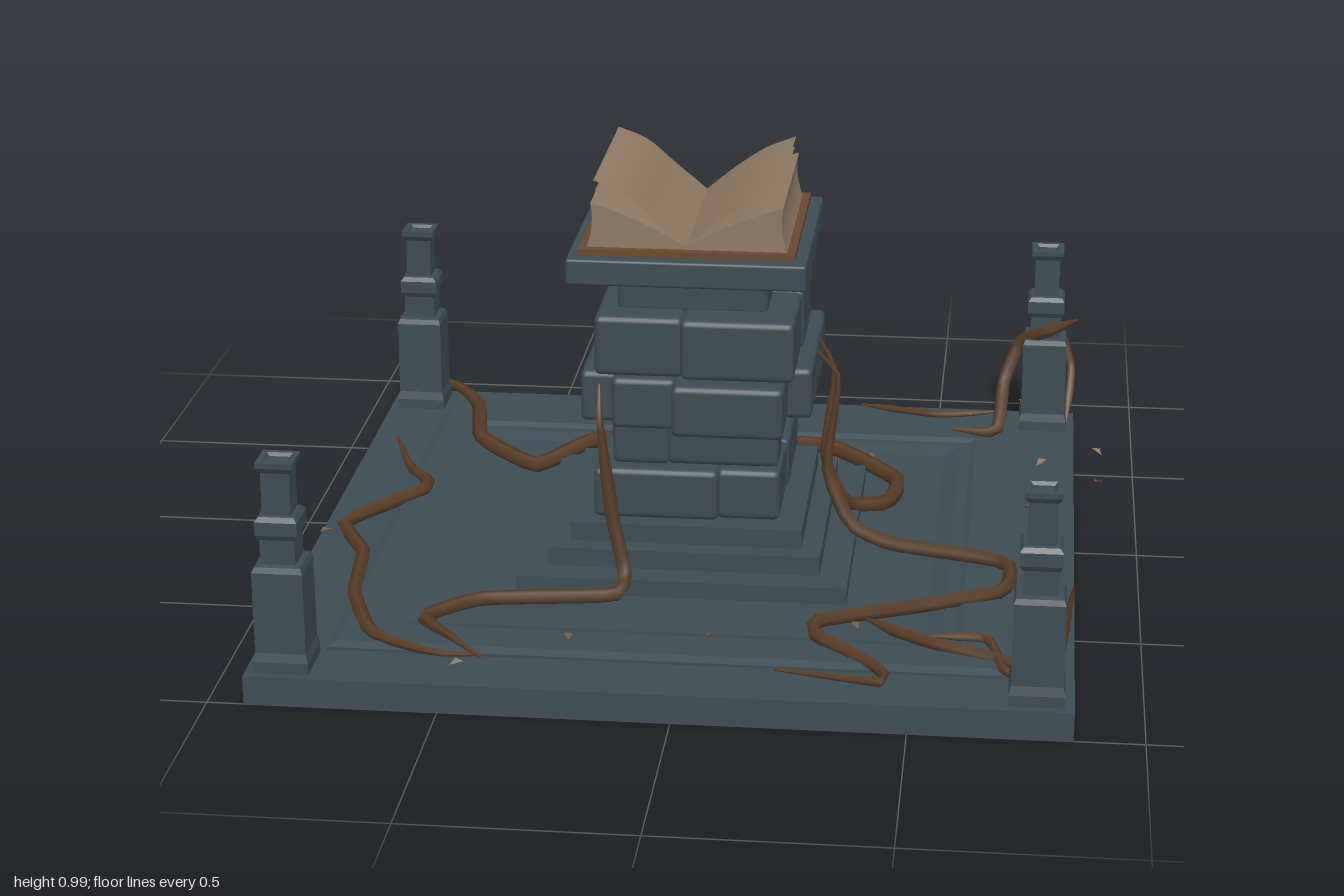
import * as THREE from 'three';
import { RoundedBoxGeometry } from 'three/addons/geometries/RoundedBoxGeometry.js';

const CX = -0.035, CZ = 0.115; // centre of the platform and pedestal

export function createModel() {
  const root = new THREE.Group();
  const mat = (name, color, side = THREE.FrontSide) => {
    const m = new THREE.MeshStandardMaterial({ color, side });
    m.name = name;
    return m;
  };
  const stone = mat('slate stone', 0x3c4c54);
  const bark = mat('brown vine', 0x5a3d26);
  const paper = mat('old paper', 0x8e7963, THREE.DoubleSide);
  const cover = mat('book cover', 0x69492f);
  const leafMat = mat('dry leaf', 0x7d6148, THREE.DoubleSide);

  const add = (parent, name, geo, material, x = 0, y = 0, z = 0) => {
    const m = new THREE.Mesh(geo, material);
    m.name = name;
    m.position.set(x, y, z);
    parent.add(m);
    return m;
  };
  const group = (name) => {
    const g = new THREE.Group();
    g.name = name;
    root.add(g);
    return g;
  };
  // square stepped solid from [half width, height] pairs
  const squareLathe = (profile) => {
    const pts = profile.map(([h, y]) => new THREE.Vector2(h * Math.SQRT2, y));
    const geo = new THREE.LatheGeometry(pts, 4, Math.PI / 4).toNonIndexed();
    geo.computeVertexNormals();
    return geo;
  };
  // stone with softened edges, given by its bounds
  const block = (parent, name, [x0, x1, y0, y1, z0, z1], r, material = stone) =>
    add(parent, name, new RoundedBoxGeometry(x1 - x0, y1 - y0, z1 - z0, 2, r), material,
      (x0 + x1) / 2, (y0 + y1) / 2, (z0 + z1) / 2);

  // platform with a raised moulding around the floor
  add(root, 'platform', squareLathe([
    [0, 0], [0.885, 0], [0.885, 0.065], [0.735, 0.065], [0.735, 0.072], [0.715, 0.08], [0.64, 0.08],
    [0.625, 0.072], [0.6, 0.072], [0.56, 0.06], [0, 0.06],
  ]), stone, CX, 0, CZ);
  add(root, 'pedestalSteps', squareLathe([
    [0.375, 0.05], [0.375, 0.1], [0.31, 0.1], [0.31, 0.145], [0.265, 0.145], [0.265, 0.19], [0, 0.19],
  ]), stone, CX, 0, CZ);

  // pedestal courses of uneven stones
  const pedestal = group('pedestal');
  [
    [-0.25, 0.035, 0.19, 0.31, 0.12, 0.345], [0.03, 0.175, 0.19, 0.31, 0.12, 0.33],
    [-0.24, -0.02, 0.19, 0.31, -0.13, 0.125], [-0.025, 0.18, 0.19, 0.31, -0.15, 0.125],
    [-0.21, -0.08, 0.31, 0.43, 0.1, 0.31], [-0.085, 0.17, 0.31, 0.43, 0.2, 0.305],
    [-0.205, -0.02, 0.31, 0.43, -0.1, 0.105], [-0.085, 0.165, 0.31, 0.43, -0.11, 0.205],
    [-0.275, -0.19, 0.43, 0.55, 0.05, 0.36], [-0.2, -0.055, 0.43, 0.55, 0.1, 0.4],
    [-0.06, 0.19, 0.43, 0.55, 0.15, 0.445], [0.05, 0.245, 0.43, 0.55, -0.13, 0.3],
    [-0.25, 0.06, 0.43, 0.55, -0.14, 0.16],
    [-0.24, -0.04, 0.55, 0.69, 0.1, 0.385], [-0.045, 0.21, 0.55, 0.69, 0.16, 0.4],
    [-0.235, 0.03, 0.55, 0.69, -0.13, 0.105], [0.025, 0.215, 0.55, 0.69, -0.09, 0.165],
    [-0.195, 0.145, 0.68, 0.77, -0.07, 0.315],
  ].forEach((b) => block(pedestal, 'stone', b, 0.014));
  block(pedestal, 'topSlab', [-0.302, 0.235, 0.762, 0.822, -0.152, 0.385], 0.006);

  // four corner posts
  const postGeo = squareLathe([
    [0.06, 0.06], [0.06, 0.09], [0.055, 0.11], [0.055, 0.295], [0.05, 0.307], [0.038, 0.31], [0.038, 0.365],
    [0.046, 0.378], [0.046, 0.408], [0.038, 0.418], [0.031, 0.42], [0.031, 0.515], [0.04, 0.528],
    [0.04, 0.54], [0.028, 0.54], [0.022, 0.533], [0, 0.533],
  ]);
  const posts = group('cornerPosts');
  for (const sx of [-1, 1]) for (const sz of [-1, 1])
    add(posts, 'cornerPost', postGeo, stone, CX + sx * 0.805, 0, CZ + sz * 0.805);

  // open book
  const book = group('openBook');
  add(book, 'bookCover', new THREE.BoxGeometry(0.485, 0.016, 0.48), cover, CX, 0.83, CZ);
  const half = new THREE.Shape();
  half.moveTo(0, 0.836);
  half.lineTo(0.225, 0.836);
  half.quadraticCurveTo(0.205, 0.89, 0.215, 0.94);
  half.quadraticCurveTo(0.12, 0.915, 0, 0.845);
  const halfGeo = new THREE.ExtrudeGeometry(half, { depth: 0.445, bevelEnabled: false, curveSegments: 8 });
  // a thin page bent along a curve in x and y
  const page = (pts) => {
    const curve = new THREE.CatmullRomCurve3(pts.map(([x, y]) => new THREE.Vector3(x, y, 0)));
    const geo = new THREE.PlaneGeometry(1, 0.44, 12, 1);
    const p = geo.attributes.position;
    for (let i = 0; i < p.count; i++) {
      const c = curve.getPoint(p.getX(i) + 0.5);
      p.setXYZ(i, c.x, c.y, p.getY(i));
    }
    geo.computeVertexNormals();
    return geo;
  };
  for (const s of [-1, 1]) {
    const pages = add(book, s < 0 ? 'rightPages' : 'leftPages', halfGeo, paper, CX, 0, CZ - 0.2225);
    if (s < 0) {
      pages.rotation.y = Math.PI;
      pages.position.z = CZ + 0.2225;
    }
    const lift = s < 0 ? 0.012 : 0;
    add(book, 'loosePage', page([[0, 0.847], [s * 0.07, 0.905], [s * 0.14, 0.952 + lift], [s * 0.208, 0.98 + lift]]),
      paper, CX, 0, CZ);
    add(book, 'loosePage', page([[0, 0.846], [s * 0.08, 0.9], [s * 0.15, 0.935], [s * 0.205, 0.955 + lift]]),
      paper, CX, 0, CZ);
  }

  // tapering angular vines
  const vines = group('vines');
  const vine = (name, pts, r = 0.017) => {
    const path = new THREE.CatmullRomCurve3(pts.map((p) => new THREE.Vector3(...p)), false, 'catmullrom', 0.25);
    const seg = pts.length * 4, sides = 5;
    const geo = new THREE.TubeGeometry(path, seg, r, sides);
    const p = geo.attributes.position, v = new THREE.Vector3();
    for (let i = 0; i < p.count; i++) {
      const t = Math.floor(i / (sides + 1)) / seg;
      const c = path.getPointAt(t);
      v.fromBufferAttribute(p, i).sub(c).multiplyScalar(0.2 + 0.8 * Math.min(1, 5 * t, 5 * (1 - t))).add(c);
      p.setXYZ(i, v.x, v.y, v.z);
    }
    add(vines, name, geo, bark);
  };
  vine('sideVine', [[-0.855, 0.08, -0.39], [-0.79, 0.075, -0.21], [-0.71, 0.09, -0.04], [-0.87, 0.08, 0.17],
    [-0.79, 0.08, 0.35], [-0.76, 0.085, 0.59], [-0.68, 0.09, 0.8], [-0.53, 0.08, 0.87], [-0.42, 0.075, 0.86]]);
  vine('backVine', [[-0.9, 0.3, -0.7], [-0.895, 0.12, -0.745], [-0.85, 0.1, -0.765], [-0.76, 0.09, -0.74],
    [-0.68, 0.09, -0.6], [-0.63, 0.1, -0.35], [-0.47, 0.09, -0.21], [-0.34, 0.115, -0.33], [-0.08, 0.11, -0.37],
    [0.24, 0.11, -0.36], [0.42, 0.09, -0.2], [0.4, 0.09, -0.05], [0.31, 0.12, 0.03], [0.26, 0.25, 0.05],
    [0.28, 0.46, 0.045], [0.24, 0.54, 0.045]], 0.02);
  vine('rightVine', [[0.24, 0.54, 0.13], [0.295, 0.47, 0.13], [0.27, 0.25, 0.13], [0.33, 0.12, 0.16],
    [0.43, 0.09, 0.2], [0.69, 0.095, 0.29], [0.69, 0.095, 0.45], [0.48, 0.08, 0.53], [0.29, 0.09, 0.64],
    [0.29, 0.09, 0.72], [0.43, 0.08, 0.85], [0.44, 0.08, 0.92], [0.21, 0.075, 0.87]]);
  vine('frontVine', [[-0.225, 0.54, 0.41], [-0.22, 0.47, 0.45], [-0.195, 0.25, 0.455], [-0.165, 0.11, 0.47],
    [-0.18, 0.08, 0.53], [-0.47, 0.08, 0.58], [-0.58, 0.085, 0.7], [-0.5, 0.095, 0.82], [-0.42, 0.08, 0.89]]);
  vine('backPostVine', [[0.85, 0.33, -0.74], [0.78, 0.34, -0.63], [0.71, 0.29, -0.68], [0.67, 0.19, -0.65],
    [0.655, 0.1, -0.53], [0.54, 0.09, -0.56]]);
  vine('backPostVine', [[0.66, 0.1, -0.67], [0.5, 0.09, -0.66], [0.3, 0.08, -0.74]], 0.009);
  vine('backPostVine', [[0.8, 0.33, -0.77], [0.84, 0.2, -0.74], [0.83, 0.08, -0.66]], 0.011);
  vine('frontPostVine', [[0.39, 0.08, 0.6], [0.46, 0.09, 0.68], [0.55, 0.09, 0.74], [0.7, 0.08, 0.79],
    [0.82, 0.08, 0.86]], 0.014);
  vine('frontPostVine', [[0.53, 0.09, 0.7], [0.66, 0.09, 0.7], [0.7, 0.08, 0.84], [0.78, 0.08, 0.86]], 0.011);
  vine('frontPostVine', [[0.8, 0.08, 0.48], [0.78, 0.09, 0.66], [0.81, 0.1, 0.84], [0.84, 0.3, 0.88]], 0.013);

  // fallen leaves: small folded triangles
  const leaves = group('leaves');
  const leafGeo = new THREE.BufferGeometry();
  leafGeo.setAttribute('position', new THREE.Float32BufferAttribute(
    [-0.017, 0, 0, 0, 0.006, -0.01, 0.017, 0, 0, -0.017, 0, 0, 0.017, 0, 0, 0, 0.008, 0.01], 3));
  leafGeo.computeVertexNormals();
  [
    [-0.35, 0.075, -0.988], [0.72, 0.08, -0.79], [0.77, 0.07, -0.4], [0.903, 0.14, -0.31], [0.905, 0.14, -0.11],
    [0.74, 0.075, -0.09], [0.8, 0.07, 0.13], [-0.08, 0.13, -0.41], [0.35, 0.1, -0.32], [-0.47, 0.08, 0.92],
    [-0.25, 0.085, 0.77], [0.06, 0.085, 0.74], [0.37, 0.09, 0.66], [0.83, 0.08, 0.64], [0.81, 0.09, 0.48],
    [-0.905, 0.08, 0.23], [0.58, 0.1, -0.63], [0.84, 0.33, -0.72],
  ].forEach(([x, y, z], i) => {
    add(leaves, 'leaf', leafGeo, leafMat, x, y, z).rotation.set(0.3 * Math.sin(i), i * 1.7 + 0.5, 0.3 * Math.cos(i));
  });
  return root;
}
